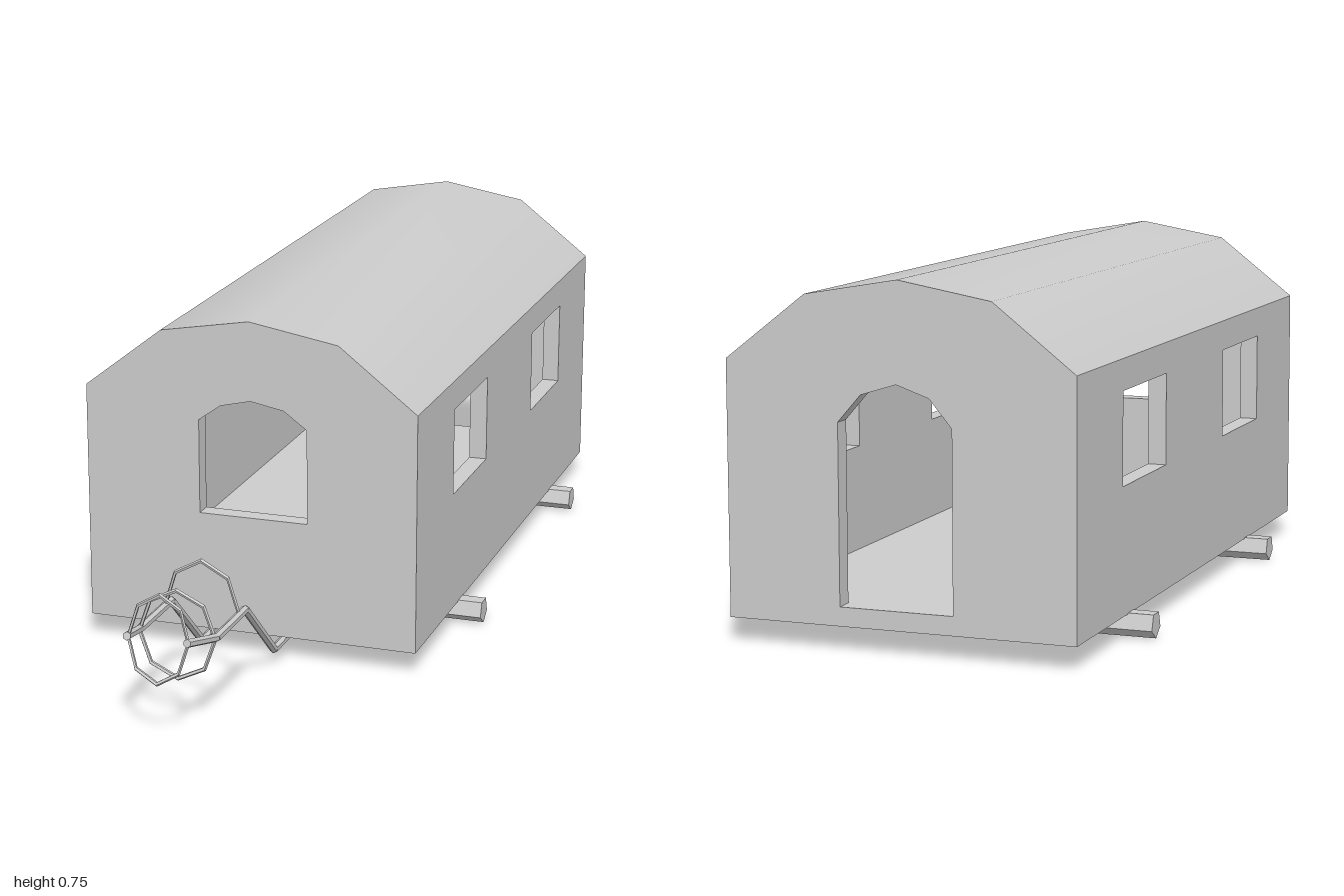
import * as THREE from 'three';
import { toCreasedNormals } from 'three/addons/utils/BufferGeometryUtils.js';

const grey = new THREE.MeshStandardMaterial({ color: 0xcccccc });
const flatGrey = new THREE.MeshStandardMaterial({ color: 0xcccccc, flatShading: true });

function add(parent, name, geometry, material = grey) {
  const mesh = new THREE.Mesh(geometry, material);
  mesh.name = name;
  parent.add(mesh);
  return mesh;
}

const toPoints = (list) => list.map(([x, y]) => new THREE.Vector2(x, y));
const mirrored = (half) => [...half, ...half.slice(0, -1).reverse().map(([x, y]) => [-x, y])];

function extrude(shape, depth, start) {
  return new THREE.ExtrudeGeometry(shape, { depth, bevelEnabled: false }).translate(0, 0, start);
}

// Straight prism between two points, one corner pointing down
function bar(parent, name, a, b, radius, sides) {
  const from = new THREE.Vector3(...a), to = new THREE.Vector3(...b);
  const geometry = new THREE.CylinderGeometry(radius, radius, from.distanceTo(to), sides);
  const mesh = add(parent, name, geometry.rotateX(Math.PI / 2), flatGrey);
  mesh.position.copy(from).lerp(to, 0.5);
  mesh.lookAt(to);
}

// Eight-sided oval hoop, or its upper half
function hoop(parent, name, rx, ry, y, z, tilt = 0, arc = Math.PI * 2) {
  const segments = Math.round((8 * arc) / (Math.PI * 2));
  const mesh = add(parent, name, new THREE.TorusGeometry(ry, 0.005, 5, segments, arc), flatGrey);
  mesh.scale.x = rx / ry;
  mesh.position.set(-0.017, y, z);
  mesh.rotation.x = -tilt;
}

export function createModel() {
  const model = new THREE.Group();
  const back = -1, front = 0.5, length = front - back, wall = 0.04;

  // Floor
  add(model, 'floor', new THREE.BoxGeometry(0.75, wall, length).translate(0, 0.07, (front + back) / 2));

  // Arched roof shell
  const outer = mirrored([[0.375, 0.56], [0.375, 0.581], [0.2, 0.717], [0, 0.752]]);
  const inner = mirrored([[0.335, 0.56], [0.185, 0.677], [0, 0.712]]);
  const roof = new THREE.Shape(toPoints([...outer, ...[...inner].reverse()]));
  add(model, 'roof', toCreasedNormals(extrude(roof, length, back), 0.7));

  // Side walls, each with two windows; drawn in (-z, y) and turned to face sideways
  const side = new THREE.Shape(toPoints([[-front, 0.09], [-back, 0.09], [-back, 0.56], [-front, 0.56]]));
  for (const [z0, z1] of [[-0.05, 0.22], [-0.73, -0.455]]) {
    side.holes.push(new THREE.Path(toPoints([[-z0, 0.32], [-z0, 0.515], [-z1, 0.515], [-z1, 0.32]])));
  }
  for (const [name, x] of [['leftWall', 0.335], ['rightWall', -0.375]]) {
    add(model, name, extrude(side, wall, 0).rotateY(Math.PI / 2).translate(x, 0, 0));
  }

  // Front wall with arched window
  const frontShape = new THREE.Shape(toPoints([[-0.335, 0.09], [0.335, 0.09], ...inner]));
  frontShape.holes.push(new THREE.Path(toPoints([
    [-0.115, 0.315], [-0.115, 0.525], [-0.065, 0.561], [0.003, 0.577],
    [0.078, 0.563], [0.13, 0.525], [0.13, 0.315],
  ])));
  add(model, 'frontWall', extrude(frontShape, wall, front - wall));

  // Back wall with arched doorway down to the floor
  const backShape = new THREE.Shape(toPoints([
    [-0.335, 0.09], [-0.115, 0.09], [-0.115, 0.464], [-0.067, 0.521], [0.003, 0.545],
    [0.08, 0.521], [0.13, 0.464], [0.13, 0.09], [0.335, 0.09], ...inner,
  ]));
  add(model, 'backWall', extrude(backShape, wall, back));

  // Undercarriage: two cross beams joined by two long rails
  const chassis = new THREE.Group();
  chassis.name = 'chassis';
  model.add(chassis);
  for (const z of [0.15, -0.68]) bar(chassis, 'crossBeam', [-0.43, 0.029, z], [0.43, 0.029, z], 0.029, 5);
  for (const x of [0.27, -0.25]) bar(chassis, 'rail', [x, 0.029, -0.68], [x, 0.029, 0.15], 0.027, 5);

  // Pulling shafts, drawing together at the tip
  const hitch = new THREE.Group();
  hitch.name = 'hitch';
  model.add(hitch);
  for (const s of [-1, 1]) {
    const path = [[0.083, 0.034, 0.15], [0.083, 0.034, 0.535], [0.083, 0.19, 0.71], [0.083, 0.19, 0.88], [0.065, 0.218, 0.995]]
      .map(([x, y, z]) => [-0.017 + s * x, y, z]);
    for (let i = 1; i < path.length; i++) bar(hitch, 'shaft', path[i - 1], path[i], 0.009, 6);
  }

  // Harness hoops
  hoop(hitch, 'rearArch', 0.083, 0.11, 0.19, 0.745, 0, Math.PI);
  hoop(hitch, 'middleHoop', 0.083, 0.096, 0.188, 0.885);
  hoop(hitch, 'frontHoop', 0.065, 0.092, 0.215, 0.987, 0.13);
  return model;
}
